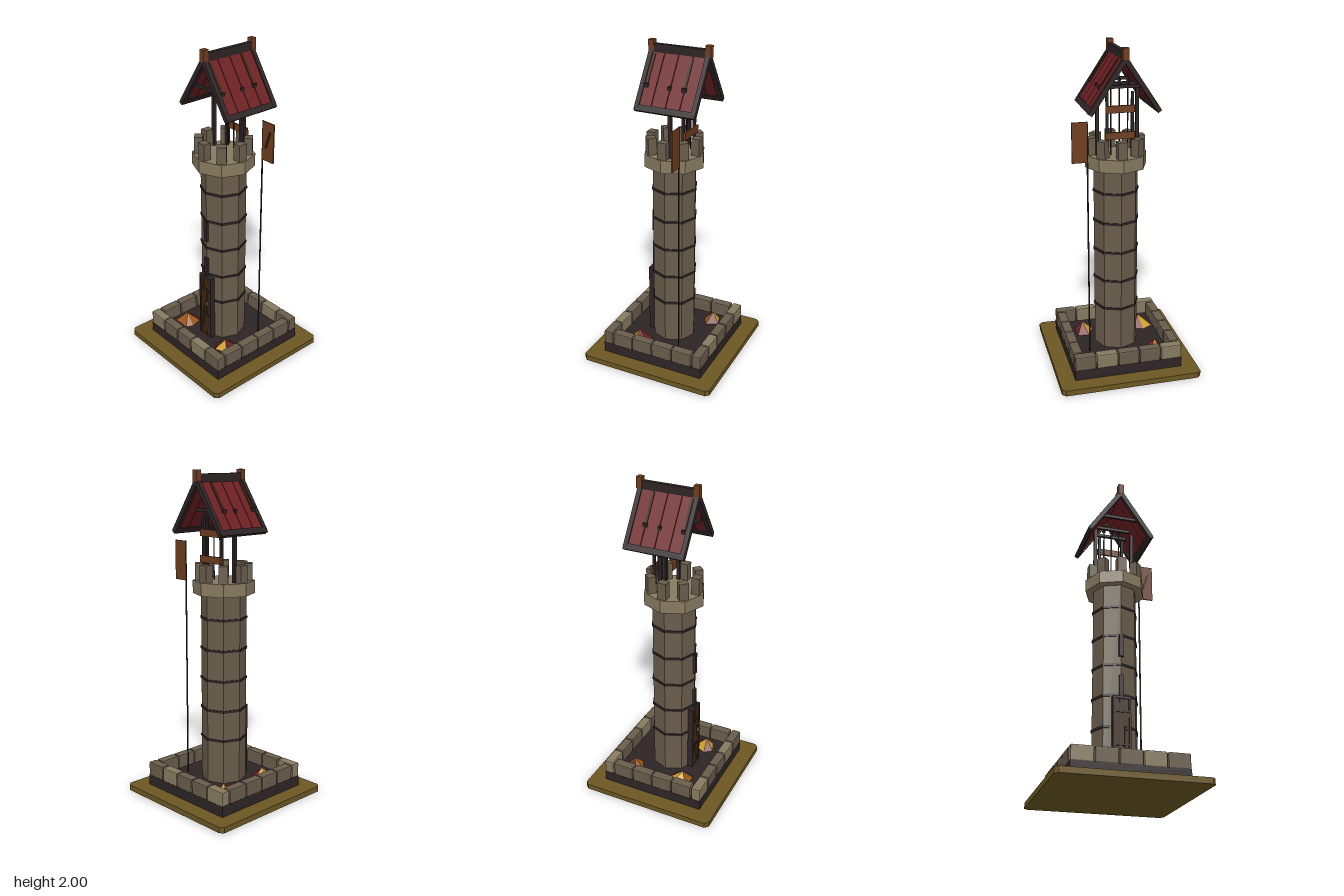
import * as THREE from 'three';
import { RoundedBoxGeometry } from 'three/addons/geometries/RoundedBoxGeometry.js';

const mat = (name, color) => {
  const m = new THREE.MeshStandardMaterial({ color, flatShading: true });
  m.name = name;
  return m;
};

export function createModel() {
  const model = new THREE.Group();
  model.name = 'watchtower';

  const earth = mat('earth', 0x6b5722);
  const charcoal = mat('charcoal', 0x2e2425);
  const stone = mat('stone', 0x695d4c);
  const paleStone = mat('paleStone', 0x877b61);
  const darkWood = mat('darkWood', 0x40250f);
  const wood = mat('wood', 0x6e3d20);
  const red = mat('redShingle', 0x6e2022);
  const gold = mat('gold', 0xcf9f2a);
  const orange = mat('orange', 0x9c591c);

  const add = (name, geo, material, x = 0, y = 0, z = 0) => {
    const m = new THREE.Mesh(geo, material);
    m.name = name;
    m.position.set(x, y, z);
    model.add(m);
    return m;
  };
  const box = (name, material, w, h, d, x, y, z) =>
    add(name, new THREE.BoxGeometry(w, h, d), material, x, y, z);
  // Bar in the xy plane between two points, with thickness t and depth d
  const beam = (name, material, [x1, y1], [x2, y2], t, d, z) => {
    const len = Math.hypot(x2 - x1, y2 - y1);
    const b = box(name, material, len, t, d, (x1 + x2) / 2, (y1 + y2) / 2, z);
    b.rotation.z = Math.atan2(y2 - y1, x2 - x1);
    return b;
  };
  const prism = (name, material, r, y0, y1) =>
    add(name, new THREE.CylinderGeometry(r, r, y1 - y0, 8), material, 0, (y0 + y1) / 2, 0);

  // Ground slab with cut corners
  const e = 0.434, c = 0.412;
  const outline = [[e, -c], [e, c], [c, e], [-c, e], [-e, c], [-e, -c], [-c, -e], [c, -e]];
  const slab = new THREE.ExtrudeGeometry(
    new THREE.Shape(outline.map(p => new THREE.Vector2(...p))), { depth: 0.035, bevelEnabled: false });
  slab.rotateX(-Math.PI / 2);
  add('groundSlab', slab, earth);
  box('foundation', charcoal, 0.67, 0.065, 0.67, 0, 0.0675, 0);

  // Low wall of blocks around the yard
  const block = (w, d, x, z, m) =>
    add('wallBlock', new RoundedBoxGeometry(w, 0.09, d, 1, 0.007), m, x, 0.141, z);
  for (const s of [-1, 1]) {
    for (let i = 0; i < 5; i++)
      block(0.129, 0.058, -0.27 + i * 0.135, s * 0.306, i % 3 === 0 ? paleStone : stone);
    for (let i = 0; i < 4; i++)
      block(0.058, 0.13, s * 0.306, -0.203 + i * 0.1353, stone);
  }

  // Tower shaft, bands, parapet and battlements
  prism('towerShaft', stone, 0.137, 0.095, 1.28);
  for (let i = 0; i < 5; i++) {
    const y = 0.373 + i * 0.188;
    prism('towerBand', charcoal, 0.143, y - 0.007, y + 0.007);
  }
  prism('parapet', paleStone, 0.187, 1.272, 1.35);
  for (let i = 0; i < 8; i++) {
    const a = i * Math.PI / 4;
    box('merlon', stone, 0.056, 0.106, 0.05, Math.sin(a) * 0.146, 1.4, Math.cos(a) * 0.146).rotation.y = a;
  }

  // Door and slit windows
  box('doorFrame', charcoal, 0.086, 0.45, 0.03, 0, 0.32, 0.132);
  for (const s of [-1, 1]) box('doorJamb', charcoal, 0.012, 0.44, 0.035, s * 0.047, 0.315, 0.138);
  box('doorLintel', charcoal, 0.106, 0.016, 0.035, 0, 0.54, 0.138);
  for (let i = -1; i <= 1; i++) box('doorPlank', darkWood, 0.024, 0.435, 0.006, i * 0.027, 0.313, 0.15);
  for (const y of [0.26, 0.455]) box('doorHinge', charcoal, 0.08, 0.012, 0.006, 0, y, 0.155);
  box('doorHandle', stone, 0.01, 0.025, 0.014, 0.025, 0.355, 0.16);
  box('lowerSlit', charcoal, 0.026, 0.13, 0.024, 0, 0.615, 0.136);
  box('upperSlit', charcoal, 0.026, 0.14, 0.024, 0, 0.868, 0.136);

  // Roof: planked slopes, rafters, eaves and cross battens
  const at = (s, x, lift = 0) => [s * x, 1.938 + lift - x * 1.5];
  const seams = [-0.205, -0.12, -0.033, 0.055, 0.138];
  for (const s of [-1, 1]) {
    for (let i = 0; i < 4; i++)
      beam('roofPlank', red, at(s, 0.004), at(s, 0.19), 0.012,
        seams[i + 1] - seams[i] - 0.004, (seams[i] + seams[i + 1]) / 2);
    for (const z of [0.142, -0.208]) beam('rafter', charcoal, at(s, 0), at(s, 0.195), 0.028, 0.027, z);
    for (const z of [0.116, -0.12]) {
      beam('roofBatten', darkWood, at(s, 0.015, 0.008), at(s, 0.125, 0.008), 0.014, 0.016, z);
      box('tieEnd', charcoal, 0.014, 0.022, 0.026, s * 0.125, 1.768, z);
    }
    beam('eave', charcoal, at(s, 0.182), at(s, 0.202), 0.026, 0.374, -0.033);
    box('roofPost', charcoal, 0.02, 0.43, 0.02, s * 0.12, 1.56, -0.03);
  }
  for (const z of [0.116, -0.03, -0.12]) box('tieBeam', charcoal, 0.24, 0.018, 0.016, 0, 1.768, z);
  box('ridge', charcoal, 0.026, 0.05, 0.36, 0, 1.953, -0.033);
  for (const z of [0.14, -0.212]) box('ridgeFinial', wood, 0.035, 0.07, 0.035, 0, 1.965, z);

  // Weapon rack with three spears
  for (const s of [-1, 1]) box('rackPost', charcoal, 0.016, 0.38, 0.016, s * 0.075, 1.54, -0.092);
  for (const y of [1.48, 1.635]) box('rackBoard', wood, 0.172, 0.042, 0.012, 0, y, -0.106);
  for (const x of [-0.05, 0, 0.05]) {
    add('spearShaft', new THREE.CylinderGeometry(0.004, 0.004, 0.42, 6), charcoal, x, 1.57, -0.08);
    add('spearHead', new THREE.ConeGeometry(0.013, 0.065, 4), charcoal, x, 1.805, -0.08);
  }

  // Tall pole with a board banner
  add('bannerPole', new THREE.CylinderGeometry(0.005, 0.005, 1.485, 6), charcoal, 0.2, 0.8375, -0.125);
  box('banner', wood, 0.09, 0.24, 0.008, 0.246, 1.458, -0.125);
  beam('bannerStripe', darkWood, [0.23, 1.42], [0.265, 1.525], 0.012, 0.008, -0.119);

  // Faceted heaps: rim points run counterclockwise from above, one colour per facet
  const heap = (apex, rim, colours) => {
    const g = new THREE.BufferGeometry();
    const pos = [];
    rim.forEach((p, i) => {
      const q = rim[(i + 1) % rim.length];
      pos.push(p[0], 0.095, p[1], q[0], 0.095, q[1], apex[0], 0.165, apex[1]);
      g.addGroup(i * 3, 3, i);
    });
    g.setAttribute('position', new THREE.Float32BufferAttribute(pos, 3));
    g.computeVertexNormals();
    add('heap', g, colours);
  };
  heap([-0.19, 0.15],
    [[-0.12, 0.16], [-0.14, 0.08], [-0.205, 0.06], [-0.275, 0.1], [-0.255, 0.205], [-0.14, 0.205]],
    [orange, red, gold, gold, orange, orange]);
  heap([-0.2, -0.19],
    [[-0.13, -0.16], [-0.172, -0.237], [-0.25, -0.215], [-0.255, -0.15], [-0.205, -0.12]],
    [red, gold, red, orange, orange]);
  heap([0.19, 0.15],
    [[0.24, 0.18], [0.235, 0.075], [0.16, 0.07], [0.115, 0.16], [0.155, 0.212]],
    [red, red, gold, red, gold]);

  return model;
}
